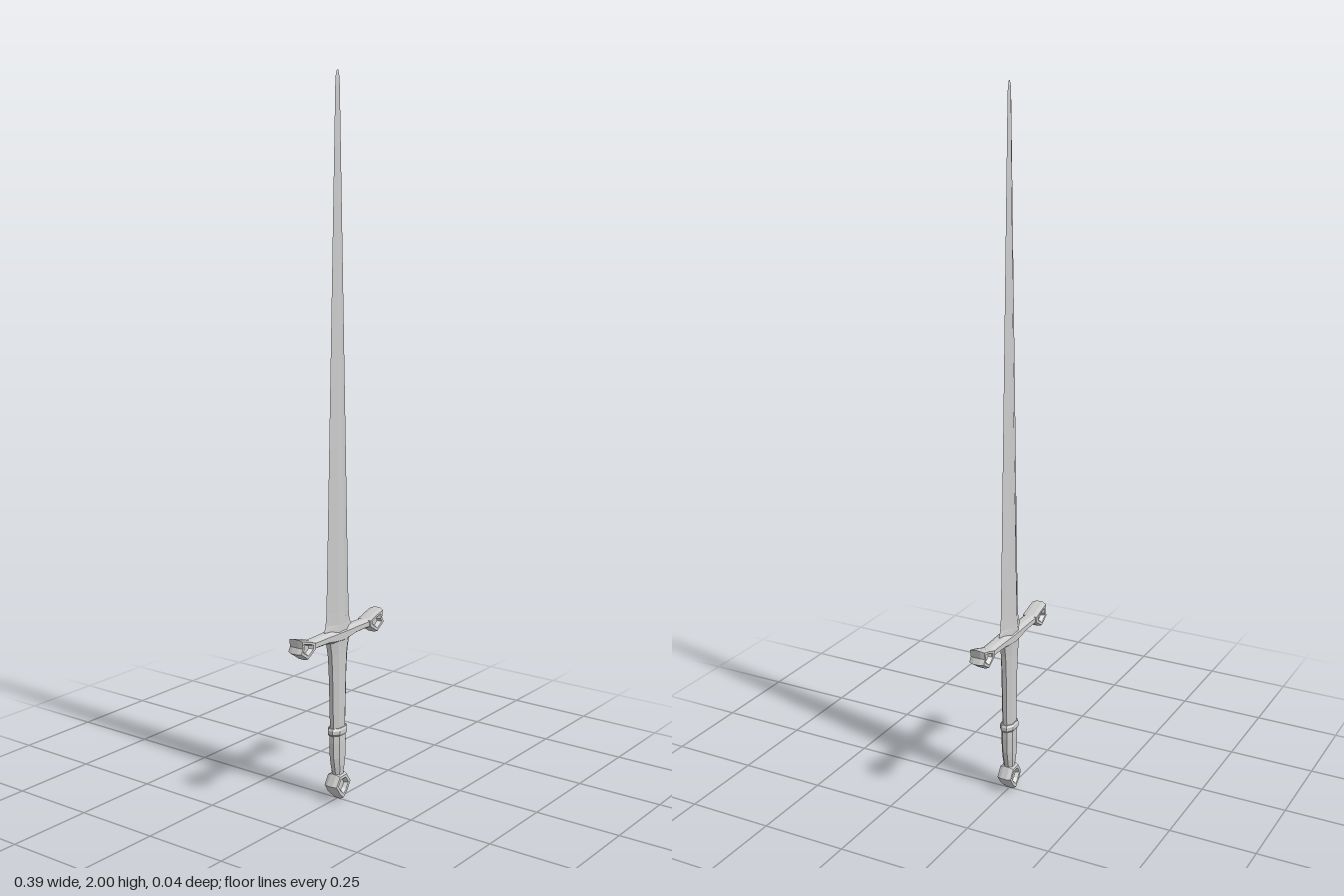
import * as THREE from 'three';

const material = new THREE.MeshStandardMaterial({ color: 0xcccccc, flatShading: true });

// Skin a list of rings (counter-clockwise seen from the far end) and cap both ends.
function loft(name, rings) {
  const pos = [];
  const tri = (...p) => p.forEach(v => pos.push(...v));
  const n = rings[0].length;
  for (let r = 0; r < rings.length - 1; r++) {
    for (let i = 0; i < n; i++) {
      const j = (i + 1) % n, a = rings[r], b = rings[r + 1];
      tri(a[i], a[j], b[j]);
      tri(a[i], b[j], b[i]);
    }
  }
  const cap = (ring, flip) => {
    const c = [0, 1, 2].map(k => ring.reduce((s, p) => s + p[k], 0) / n);
    ring.forEach((p, i) => {
      const q = ring[(i + 1) % n];
      flip ? tri(c, q, p) : tri(c, p, q);
    });
  };
  cap(rings[0], true);
  cap(rings[rings.length - 1], false);
  const geo = new THREE.BufferGeometry();
  geo.setAttribute('position', new THREE.Float32BufferAttribute(pos, 3));
  geo.computeVertexNormals();
  const mesh = new THREE.Mesh(geo, material);
  mesh.name = name;
  return mesh;
}

// Unit cross-sections, counter-clockwise
const HEX = [[1, 0], [0.3, 1], [-0.3, 1], [-1, 0], [-0.3, -1], [0.3, -1]];
const OCT = [[1, 0.4], [0.5, 1], [-0.5, 1], [-1, 0.4], [-1, -0.4], [-0.5, -1], [0.5, -1], [1, -0.4]];

// Rows are [y, half width, half depth]
const loftY = (name, section, rows) => loft(name, rows.map(([y, a, b]) =>
  section.map(([u, v]) => [a * u, y, -b * v])));

// Rows are [x, centre y, half height, half depth]
const loftX = (name, section, rows) => loft(name, rows.map(([x, y, a, b]) =>
  section.map(([u, v]) => [x, y + a * u, b * v])));

// Faceted ornament with a sunken panel on both faces
function ornament(name, outline, cx, cy, depth) {
  const steps = [[0.4, -0.5], [0.6, -1], [0.86, -1], [1, -0.45],
    [1, 0.45], [0.86, 1], [0.6, 1], [0.4, 0.5]];
  return loft(name, steps.map(([s, z]) =>
    outline.map(([x, y]) => [cx + (x - cx) * s, cy + (y - cy) * s, z * depth])));
}

export function createModel() {
  const sword = new THREE.Group();
  sword.name = 'sword';

  // Blade, flared where it meets the guard
  sword.add(loftY('blade', HEX, [
    [0.475, 0.064, 0.019], [0.5, 0.062, 0.018], [0.515, 0.055, 0.017], [0.55, 0.051, 0.016],
    [0.7, 0.046, 0.013], [1.0, 0.0375, 0.009], [1.4, 0.026, 0.006],
    [1.8, 0.0145, 0.004], [1.96, 0.01, 0.003], [1.985, 0.008, 0.0025], [2, 0.003, 0.001],
  ]));

  // Crossguard
  sword.add(loftX('guard', OCT, [
    [-0.14, 0.482, 0.014, 0.019], [-0.11, 0.483, 0.0135, 0.019], [-0.06, 0.483, 0.0145, 0.02],
    [-0.035, 0.481, 0.0185, 0.021], [0, 0.48, 0.022, 0.022], [0.035, 0.481, 0.0185, 0.021],
    [0.06, 0.483, 0.0145, 0.02], [0.11, 0.483, 0.0135, 0.019], [0.14, 0.482, 0.014, 0.019],
  ]));

  // Guard ends, mirrored (reversed order keeps faces outward)
  const end = [[0.122, 0.474], [0.16, 0.45], [0.196, 0.474], [0.187, 0.49],
    [0.191, 0.514], [0.157, 0.505], [0.122, 0.493]];
  sword.add(ornament('guardEndLeft', end, 0.16, 0.483, 0.022));
  sword.add(ornament('guardEndRight', end.map(([x, y]) => [-x, y]).reverse(), -0.16, 0.483, 0.022));

  // Grip, upper and lower parts
  sword.add(loftY('upperGrip', OCT, [
    [0.2, 0.027, 0.015], [0.28, 0.029, 0.016], [0.38, 0.032, 0.017],
    [0.43, 0.036, 0.018], [0.455, 0.041, 0.019], [0.475, 0.046, 0.02],
  ]));
  sword.add(loftY('lowerGrip', OCT, [
    [0.06, 0.016, 0.014], [0.078, 0.017, 0.014], [0.1, 0.022, 0.016],
    [0.125, 0.027, 0.017], [0.17, 0.029, 0.018], [0.2, 0.028, 0.017],
  ]));
  sword.add(loftY('gripRing', OCT, [
    [0.192, 0.03, 0.018], [0.197, 0.034, 0.021], [0.208, 0.034, 0.021], [0.214, 0.03, 0.018],
  ]));

  // Pommel
  const pommel = [[0, 0], [0.02, 0.018], [0.038, 0.046], [0.019, 0.076],
    [-0.019, 0.076], [-0.038, 0.046], [-0.02, 0.018]];
  sword.add(ornament('pommel', pommel, 0, 0.044, 0.021));

  return sword;
}
